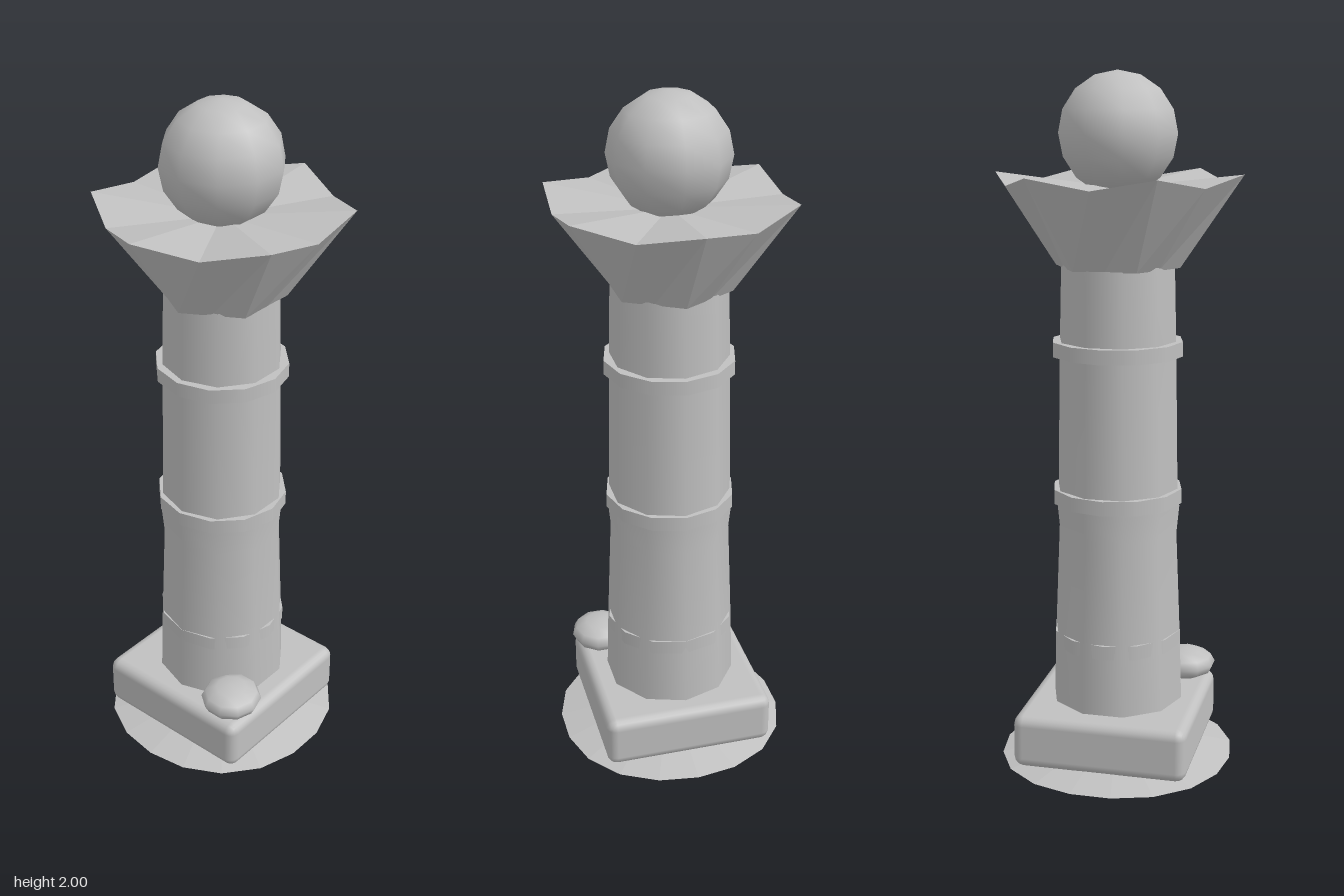
import * as THREE from 'three';
import { RoundedBoxGeometry } from 'three/addons/geometries/RoundedBoxGeometry.js';

export function createModel() {
  const group = new THREE.Group();
  const stone = new THREE.MeshStandardMaterial({ color: 0xc0c0c0 });
  stone.name = 'stone';
  const facetedStone = stone.clone();
  facetedStone.name = 'facetedStone';
  facetedStone.flatShading = true;

  const add = (name, geometry, x, y, z, material = stone) => {
    const mesh = new THREE.Mesh(geometry, material);
    mesh.name = name;
    mesh.position.set(x, y, z);
    group.add(mesh);
    return mesh;
  };

  // Thin, slightly uneven ground slab
  const slab = new THREE.CylinderGeometry(0.24, 0.347, 0.026, 18);
  const sp = slab.attributes.position;
  for (let i = 0; i < sp.count; i++) {
    const a = Math.atan2(sp.getX(i), sp.getZ(i));
    const k = 1 + 0.012 * Math.cos(a * 4 + Math.PI);
    sp.setX(i, sp.getX(i) * k);
    sp.setZ(i, sp.getZ(i) * k);
  }
  add('groundSlab', slab, 0, 0.013, 0, facetedStone);

  // Square plinth with softened edges
  add('plinth', new RoundedBoxGeometry(0.51, 0.158, 0.51, 2, 0.03), 0, 0.099, 0);

  // Ten-sided column with a gentle waist
  const profile = [
    [0.195, 0.17], [0.189, 0.37], [0.176, 0.69], [0.184, 0.77],
    [0.178, 0.82], [0.171, 1.23], [0.165, 1.47],
  ].map(([r, y]) => new THREE.Vector2(r, y));
  add('column', new THREE.LatheGeometry(profile, 10), 0, 0, 0);

  // Collars around the column
  for (const [name, y, r] of [['lowerCollar', 0.37, 0.189], ['middleCollar', 0.8, 0.19], ['upperCollar', 1.23, 0.19]]) {
    add(name, new THREE.CylinderGeometry(r, r, 0.042, 12), 0, y, 0);
  }

  // Flared crown: six peaks with shallow valleys between them
  const crown = new THREE.CylinderGeometry(0.357, 0.18, 0.26, 12);
  const p = crown.attributes.position;
  for (let i = 0; i < p.count; i++) {
    const x = p.getX(i), y = p.getY(i), z = p.getZ(i);
    const top = y > 0;
    if (Math.hypot(x, z) < 0.01) {
      if (top) p.setY(i, y - 0.04);
      continue;
    }
    const step = Math.round(Math.atan2(x, z) / (Math.PI / 6));
    if (step % 2 !== 0) {
      const k = top ? 0.32 / 0.357 : 0.866;
      p.setXYZ(i, x * k, top ? y - 0.03 : y, z * k);
    }
  }
  crown.computeVertexNormals();
  add('crown', crown, 0, 1.59, 0, facetedStone);

  // Ball finial
  const ball = add('ballFinial', new THREE.SphereGeometry(0.171, 10, 8), 0, 1.829, 0);
  ball.rotation.y = Math.PI / 2;

  // Small pebble resting on the front left corner of the plinth
  const pebble = add('pebble', new THREE.SphereGeometry(1, 10, 6), 0.182, 0.219, 0.172);
  pebble.scale.set(0.09, 0.046, 0.092);

  return group;
}
